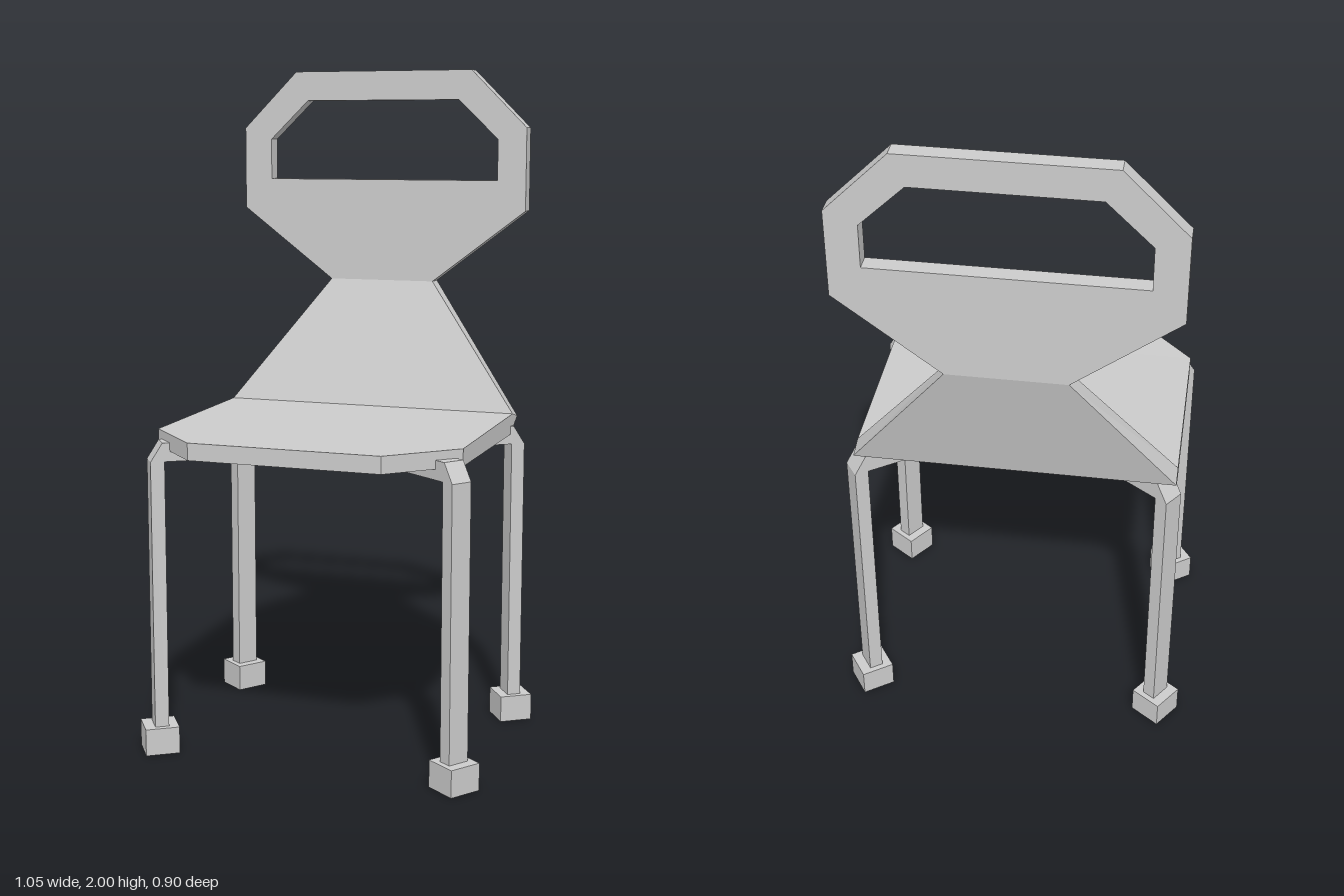
import * as THREE from 'three';

const material = new THREE.MeshStandardMaterial({ color: 0xcccccc, flatShading: true });
const SEAT_X = -0.012; // the seat sits slightly off the frame's centre
const FRAME_Z = 0.018;

function part(name, geometry, parent) {
  const mesh = new THREE.Mesh(geometry, material);
  mesh.name = name;
  parent.add(mesh);
  return mesh;
}

const points = (list) => list.map(([x, y]) => new THREE.Vector2(x, y));

// Skin a row of four-cornered sections: [half width, top z, top y, bottom z, bottom y]
function loft(sections) {
  const rings = sections.map(([w, tz, ty, bz, by]) =>
    [[w, ty, tz], [-w, ty, tz], [-w, by, bz], [w, by, bz]]);
  const positions = [];
  const quad = (a, b, c, d) => positions.push(...a, ...b, ...c, ...a, ...c, ...d);
  quad(...rings[0]);
  for (let s = 0; s < rings.length - 1; s++) {
    for (let i = 0; i < 4; i++) {
      const j = (i + 1) % 4;
      quad(rings[s][i], rings[s + 1][i], rings[s + 1][j], rings[s][j]);
    }
  }
  const geometry = new THREE.BufferGeometry();
  geometry.setAttribute('position', new THREE.Float32BufferAttribute(positions, 3));
  geometry.computeVertexNormals();
  return geometry;
}

// Extrude an outline, centred on its own depth
function slab(shape, depth) {
  return new THREE.ExtrudeGeometry(shape, { depth, bevelEnabled: false })
    .translate(0, 0, -depth / 2);
}

export function createModel() {
  const chair = new THREE.Group();
  chair.name = 'chair';

  // Seat bending up into the tapering lower backrest
  part('seatAndLowerBack', loft([
    [0.285, 0.45, 0.955, 0.45, 0.905],
    [0.4625, 0.27, 0.955, 0.27, 0.905],
    [0.4625, -0.28, 0.965, -0.26, 0.905],
    [0.4625, -0.28, 0.965, -0.34, 0.95],
    [0.168, -0.4, 1.35, -0.45, 1.35],
  ]), chair).position.x = SEAT_X;

  // Upper backrest with its handle opening
  const back = new THREE.Shape(points([
    [-0.168, 1.35], [0.168, 1.35], [0.4625, 1.573], [0.4625, 1.825],
    [0.287, 2], [-0.287, 2], [-0.4625, 1.825], [-0.4625, 1.573],
  ]));
  back.holes.push(new THREE.Path(points([
    [-0.373, 1.665], [-0.373, 1.79], [-0.248, 1.91],
    [0.248, 1.91], [0.373, 1.79], [0.373, 1.665],
  ])));
  part('upperBack', slab(back, 0.05), chair).position.set(SEAT_X, 0, -0.425);

  // Two crossed frames, each a pair of legs joined by a bar under the seat
  const frame = new THREE.Shape(points([
    [0.532, 0.04], [0.573, 0.04], [0.573, 0.875], [0.538, 0.93],
    [-0.538, 0.93], [-0.573, 0.875], [-0.573, 0.04], [-0.532, 0.04],
    [-0.532, 0.875], [0.532, 0.875],
  ]));
  for (const side of [-1, 1]) {
    const legs = new THREE.Group();
    legs.name = side < 0 ? 'frontLeftLegFrame' : 'frontRightLegFrame';
    legs.position.z = FRAME_Z;
    legs.rotation.y = side * 0.612;
    part('legsAndCrossbar', slab(frame, 0.066), legs);
    for (const end of [-1, 1]) {
      part('foot', new THREE.BoxGeometry(0.1, 0.08, 0.1), legs).position.set(end * 0.554, 0.04, 0);
    }
    chair.add(legs);
  }
  return chair;
}
